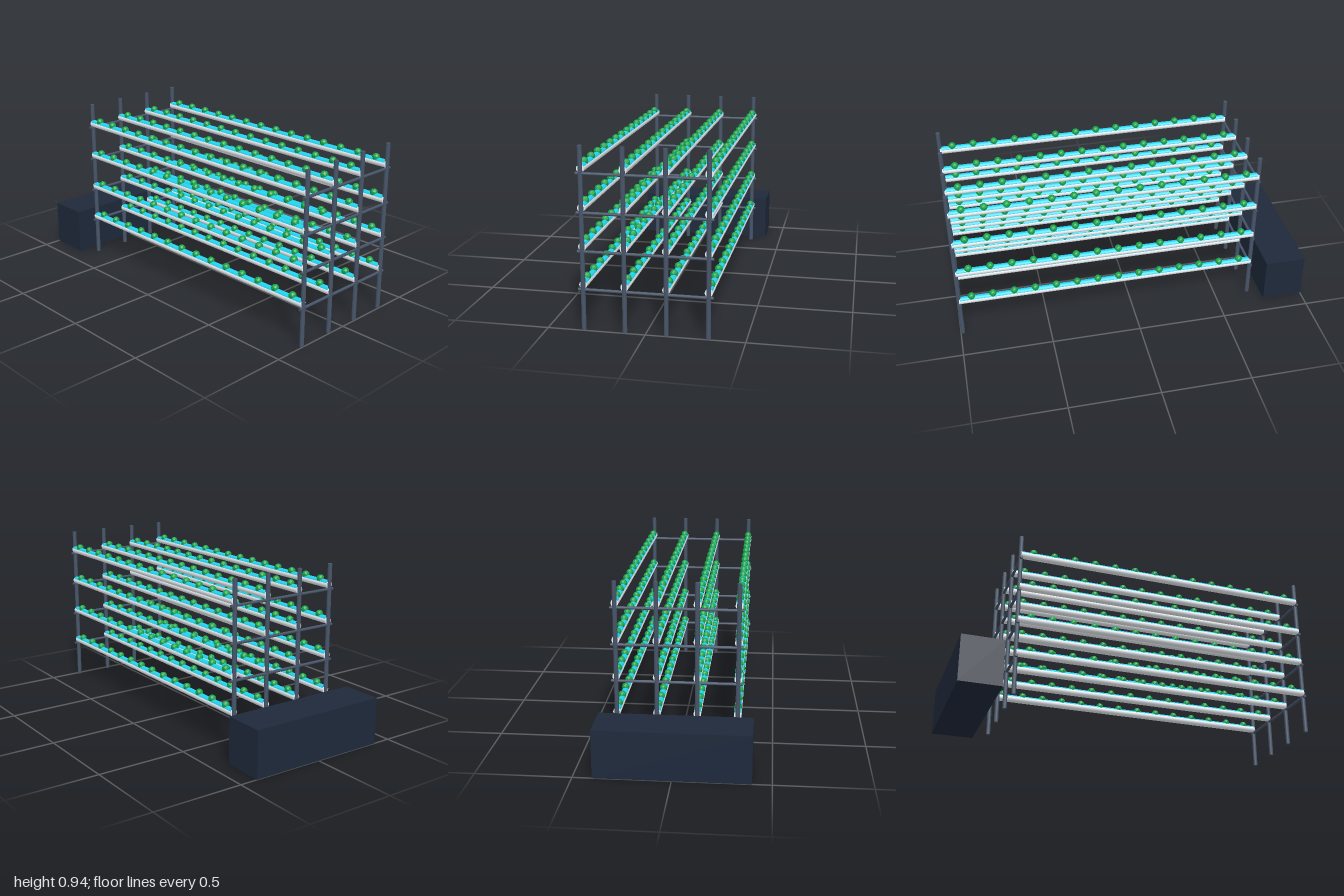
import * as THREE from 'three';

const mat = (color, extra = {}) => new THREE.MeshStandardMaterial({ color, ...extra });

export function createModel() {
  const model = new THREE.Group();
  const steel = mat(0x475569), dark = mat(0x1e293b), white = mat(0xf1f5f9);
  const water = mat(0x22d3ee), leaf = mat(0x16a34a, { flatShading: true });

  const add = (name, geometry, material, x, y, z) => {
    const mesh = new THREE.Mesh(geometry, material);
    mesh.name = name;
    mesh.position.set(x, y, z);
    model.add(mesh);
  };

  const endX = [-0.696, 0.988], midX = 0.146, length = 1.684;
  const rowZ = [-0.315, -0.105, 0.105, 0.315];
  const levelY = [0, 1, 2, 3].map((i) => 0.212 + i * 0.1965);

  // Reservoir tank beside the rack
  add('reservoir', new THREE.BoxGeometry(0.23, 0.258, 0.8), dark, -0.885, 0.129, 0);

  // Upright posts and the cross bars joining them at each level
  const postGeo = new THREE.CylinderGeometry(0.012, 0.012, 0.94, 12);
  const barGeo = new THREE.CylinderGeometry(0.008, 0.008, 0.68, 10).rotateX(Math.PI / 2);
  for (const x of endX) {
    for (const z of rowZ) add('post', postGeo, steel, x, 0.47, z);
    for (const y of levelY) add('crossBar', barGeo, steel, x, y, 0);
  }

  // Growing channels with water along the top and a row of plants
  const pipeGeo = new THREE.CylinderGeometry(0.02, 0.02, length, 20).rotateZ(Math.PI / 2);
  const waterGeo = new THREE.CylinderGeometry(0.018, 0.018, length - 0.01, 20).rotateZ(Math.PI / 2);
  const plantGeo = new THREE.IcosahedronGeometry(0.021, 1);
  const plants = 14, spacing = 0.1186;
  for (const y of levelY) {
    for (const z of rowZ) {
      add('channel', pipeGeo, white, midX, y + 0.0235, z);
      add('water', waterGeo, water, midX, y + 0.0285, z);
      for (let i = 0; i < plants; i++) {
        add('plant', plantGeo, leaf, midX + (i - (plants - 1) / 2) * spacing, y + 0.047, z);
      }
    }
  }
  return model;
}
